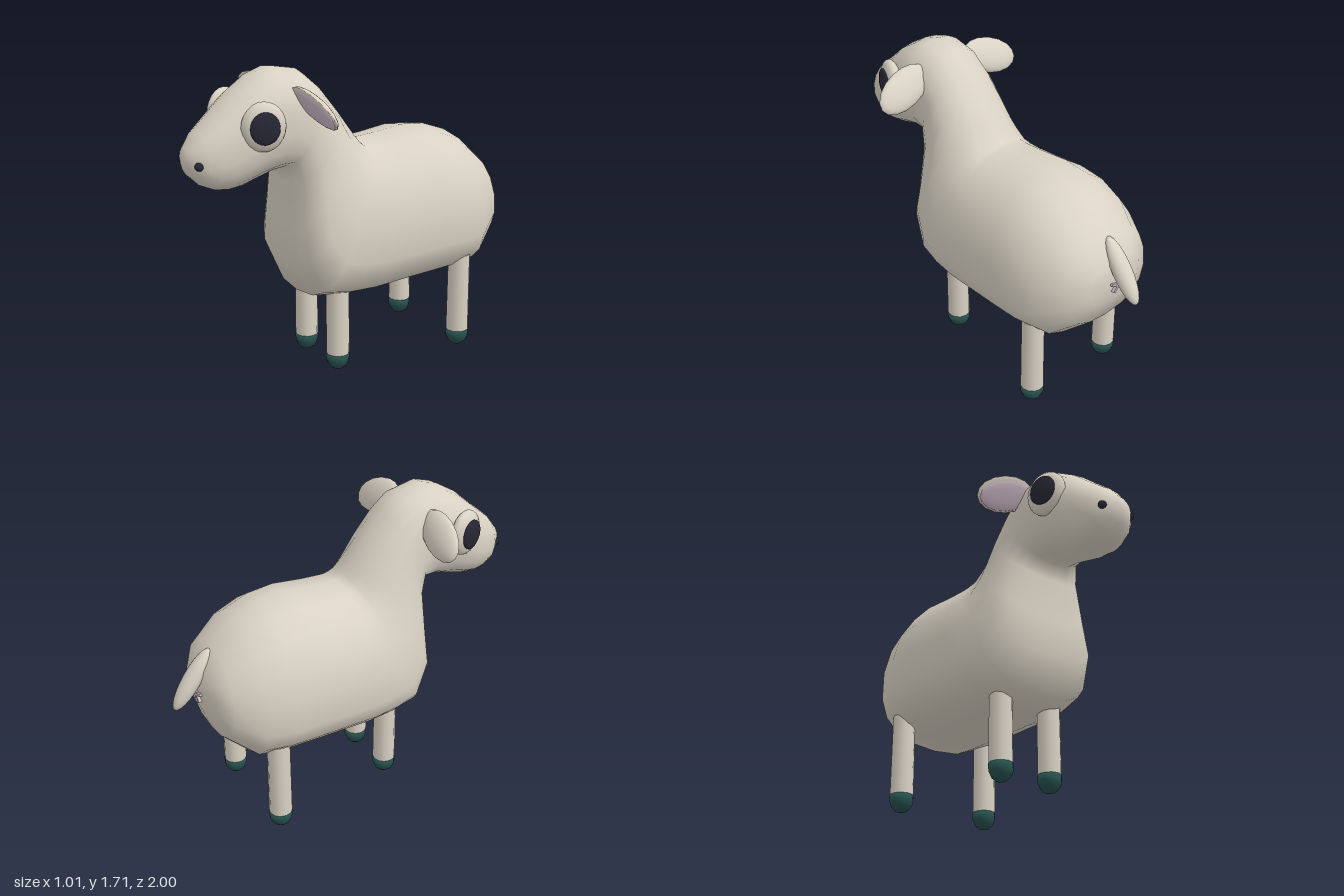
import * as THREE from 'three';
import { mergeVertices } from 'three/addons/utils/BufferGeometryUtils.js';

function material(name, color) {
  const m = new THREE.MeshStandardMaterial({ color });
  m.name = name;
  return m;
}

// Skin lofted through rings: [top z, top y, bottom z, bottom y, half width, height of widest point 0..1]
function loftRings(rings, sides) {
  const pos = [], index = [];
  const pow = (v, e) => Math.sign(v) * Math.pow(Math.abs(v), 2 / e);
  rings.forEach(([tz, ty, bz, by, w, k]) => {
    for (let j = 0; j < sides; j++) {
      const a = (j / sides) * Math.PI * 2;
      const s = Math.sin(a), c = Math.cos(a);
      const e = c < 0 ? 2.5 : 2.15;
      const f = k + pow(c, e) * (c < 0 ? k : 1 - k);
      pos.push(w * pow(s, e), by + (ty - by) * f, (bz + (tz - bz) * f) * 1.01);
    }
  });
  for (let i = 0; i < rings.length - 1; i++) {
    for (let j = 0; j < sides; j++) {
      const j2 = (j + 1) % sides;
      const a = i * sides + j, b = i * sides + j2;
      const c = a + sides, d = b + sides;
      index.push(a, c, b, b, c, d);
    }
  }
  let g = new THREE.BufferGeometry();
  g.setAttribute('position', new THREE.Float32BufferAttribute(pos, 3));
  g.setIndex(index);
  g = mergeVertices(g, 1e-5);
  g.computeVertexNormals();
  return g;
}

export function createModel() {
  const cream = material('cream wool', 0xd9d2c4);
  const dark = material('dark eye', 0x272735);
  const teal = material('teal hoof', 0x26504d);
  const pink = material('pale mauve', 0xcdb9c8);

  const model = new THREE.Group();
  model.name = 'lamb';
  const lamb = new THREE.Group();
  lamb.name = 'lambParts';
  lamb.rotation.y = -0.155;
  lamb.position.set(0.018, 0, 0.003);
  model.add(lamb);

  const add = (name, geometry, mat, parent = lamb) => {
    const m = new THREE.Mesh(geometry, mat);
    m.name = name;
    parent.add(m);
    return m;
  };

  // Body, neck and head: one skin from rump to nose
  const rings = [
    [-0.865, 0.86, -0.865, 0.86, 0, 0.5],
    [-0.84, 0.98, -0.845, 0.72, 0.18, 0.5],
    [-0.77, 1.09, -0.80, 0.59, 0.29, 0.45],
    [-0.63, 1.215, -0.65, 0.45, 0.375, 0.4],
    [-0.48, 1.27, -0.50, 0.445, 0.41, 0.38],
    [-0.33, 1.285, -0.33, 0.44, 0.412, 0.38],
    [-0.15, 1.265, -0.15, 0.435, 0.405, 0.38],
    [-0.03, 1.26, 0.03, 0.425, 0.395, 0.38],
    [0.00, 1.27, 0.20, 0.43, 0.38, 0.38],
    [0.02, 1.29, 0.36, 0.455, 0.355, 0.38],
    [0.05, 1.33, 0.45, 0.65, 0.325, 0.36],
    [0.08, 1.37, 0.45, 0.85, 0.285, 0.4],
    [0.14, 1.45, 0.44, 1.10, 0.245, 0.45],
    [0.25, 1.59, 0.465, 1.19, 0.22, 0.5],
    [0.35, 1.68, 0.55, 1.175, 0.212, 0.55],
    [0.50, 1.71, 0.65, 1.145, 0.215, 0.58],
    [0.60, 1.68, 0.73, 1.122, 0.21, 0.55],
    [0.72, 1.605, 0.80, 1.115, 0.192, 0.5],
    [0.82, 1.515, 0.87, 1.125, 0.168, 0.5],
    [0.92, 1.43, 0.92, 1.15, 0.138, 0.5],
    [0.985, 1.35, 0.97, 1.20, 0.085, 0.5],
    [1.0, 1.28, 1.0, 1.28, 0, 0.5],
  ];
  add('body', loftRings(rings, 18), cream);

  // Legs and hooves
  const legGeo = new THREE.CylinderGeometry(0.062, 0.064, 0.47, 12);
  const hoofGeo = new THREE.LatheGeometry(
    [[0, 0.005], [0.03, 0.01], [0.052, 0.03], [0.064, 0.06], [0.066, 0.1], [0, 0.1]]
      .map(([x, y]) => new THREE.Vector2(x, y)), 12);

  // Unit sphere, and half shells for the two faces of an ear
  const ball = new THREE.SphereGeometry(1, 16, 12);
  const halfFront = new THREE.SphereGeometry(1, 16, 6, 0, Math.PI * 2, 0, Math.PI / 2).rotateX(Math.PI / 2);
  const halfBack = halfFront.clone().rotateX(Math.PI);

  for (const [side, label] of [[1, 'left'], [-1, 'right']]) {
    for (const [end, x, z] of [['Front', 0.159, 0.2], ['Rear', 0.279, -0.55]]) {
      add(label + end + 'Leg', legGeo, cream).position.set(side * x, 0.325, z);
      add(label + end + 'Hoof', hoofGeo, teal).position.set(side * x, 0, z);
    }

    // Eye: flattened dome with a dark pupil
    const eye = new THREE.Group();
    eye.name = label + 'Eye';
    eye.position.set(side * 0.205, 1.455, 0.665);
    eye.rotation.y = side * (Math.PI / 2 - 0.33);
    add('eyeball', ball, cream, eye).scale.set(0.115, 0.128, 0.052);
    const pupil = add('pupil', ball, dark, eye);
    pupil.scale.set(0.076, 0.084, 0.02);
    pupil.position.z = 0.042;
    lamb.add(eye);

    // Ear: drooping leaf with a mauve inner face
    const ear = new THREE.Group();
    ear.name = label + 'Ear';
    ear.position.set(side * 0.3, 1.535, 0.43);
    ear.rotation.set(0.52, side * 0.14, side * -0.32, 'YZX');
    add('earBack', halfBack, cream, ear).scale.set(0.18, 0.1, 0.045);
    add('earRim', halfFront, cream, ear).scale.set(0.18, 0.1, 0.012);
    const inner = add('earInner', halfFront, pink, ear);
    inner.scale.set(0.165, 0.082, 0.012);
    inner.position.set(0, -0.008, 0.005);
    lamb.add(ear);

    const nostril = add(label + 'Nostril', ball, dark);
    nostril.scale.setScalar(0.024);
    nostril.position.set(side * 0.092, 1.275, 0.968);
  }

  // Tail
  const tail = add('tail', ball, cream);
  tail.scale.set(0.054, 0.19, 0.048);
  tail.position.set(0, 0.92, -0.896);
  tail.rotation.x = 0.62;

  // Small star mark under the tail
  const mark = new THREE.Group();
  mark.name = 'rumpMark';
  mark.position.set(0, 0.825, -0.872);
  const arm = new THREE.BoxGeometry(0.014, 0.05, 0.02).translate(0, 0.025, 0);
  for (let i = 0; i < 5; i++) add('markArm', arm, pink, mark).rotation.z = (i / 5) * Math.PI * 2;
  lamb.add(mark);

  return model;
}
